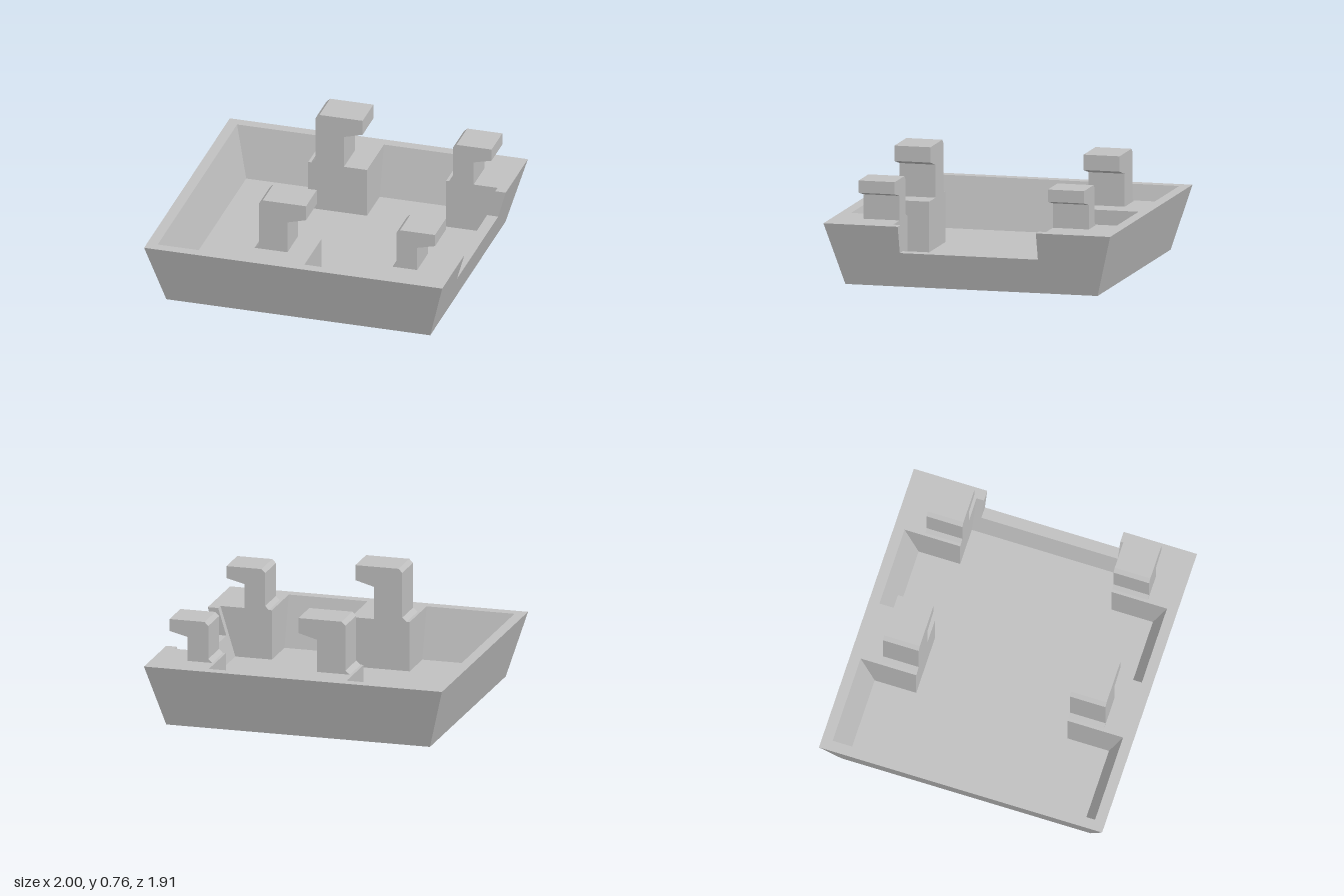
import * as THREE from 'three';
import { mergeGeometries } from 'three/addons/utils/BufferGeometryUtils.js';

const H = 0.41, FLOOR = 0.08, SILL = 0.23, NZ = 0.46, GROOVE = 0.015;

const toGeometry = (pos) => {
  const g = new THREE.BufferGeometry();
  g.setAttribute('position', new THREE.Float32BufferAttribute(pos, 3));
  g.computeVertexNormals();
  return g;
};

// Flat polygon (with optional holes) turned so that it faces along dir
function face(pts, dir, holes = []) {
  const a = dir.map(Math.abs);
  const drop = a.indexOf(Math.max(...a));
  const flat = (ring) => ring.map((p) => new THREE.Vector2(...p.filter((_, i) => i !== drop)));
  const all = [pts, ...holes].flat().map((p) => new THREE.Vector3(...p));
  const d = new THREE.Vector3(...dir), pos = [];
  for (const [i, j, k] of THREE.ShapeUtils.triangulateShape(flat(pts), holes.map(flat))) {
    const [p, q, r] = [all[i], all[j], all[k]];
    const n = q.clone().sub(p).cross(r.clone().sub(p));
    for (const v of n.dot(d) >= 0 ? [p, q, r] : [p, r, q]) pos.push(v.x, v.y, v.z);
  }
  return toGeometry(pos);
}

// Walls between two matching rings; skip leaves one edge open
function loft(low, high, skip = -1) {
  const pos = [];
  low.forEach((a, i) => {
    if (i === skip) return;
    const j = (i + 1) % low.length;
    pos.push(...a, ...low[j], ...high[j], ...a, ...high[j], ...high[i]);
  });
  return toGeometry(pos);
}

const at = (ring, y) => ring.map(([x, z]) => [x, y, z]);

// Cavity outline, running around the four corner blocks
function cavity(left, right, side) {
  const half = [[left, -side], [-0.34, -side], [-0.34, -0.51], [0.055, -0.51],
    [0.055, -side], [0.585, -side], [0.585, -0.51], [right, -0.51]];
  return [...half, ...half.map(([x, z]) => [x, -z]).reverse()];
}

// Closed smooth outline through a few points
const smooth = (pts) => new THREE.CatmullRomCurve3(
  pts.map(([x, z]) => new THREE.Vector3(x, 0, z)), true, 'centripetal')
  .getPoints(48).slice(0, -1).map((p) => [p.x, p.z]);

// Outline moved inwards by w
function inset(ring, w) {
  const s = THREE.ShapeUtils.area(ring.map((p) => new THREE.Vector2(...p))) > 0 ? 1 : -1;
  const n = ring.length;
  return ring.map(([x, z], i) => {
    const a = ring[(i + n - 1) % n], b = ring[(i + 1) % n];
    const dx = b[0] - a[0], dz = b[1] - a[1], l = Math.hypot(dx, dz);
    return [x - s * w * dz / l, z + s * w * dx / l];
  });
}

// Narrow four-sided slit between two points
function slit(a, b, w) {
  const dx = b[0] - a[0], dz = b[1] - a[1], l = Math.hypot(dx, dz);
  const ox = -dz / l * w / 2, oz = dx / l * w / 2;
  return [[a[0] + ox, a[1] + oz], [b[0] + ox, b[1] + oz], [b[0] - ox, b[1] - oz], [a[0] - ox, a[1] - oz]];
}

const mix = (a, b, t) => [a[0] + (b[0] - a[0]) * t, a[1] + (b[1] - a[1]) * t];

export function createModel() {
  const model = new THREE.Group();
  const grey = new THREE.MeshStandardMaterial({ color: 0xc0c0c0, side: THREE.DoubleSide });
  grey.name = 'light grey';
  const add = (name, geometry) => {
    const mesh = new THREE.Mesh(geometry, grey);
    mesh.name = name;
    model.add(mesh);
    return mesh;
  };

  // Sloping outer walls, the right one with a notch
  const xo = (y) => 0.885 + 0.115 * y / H;
  const xi = (y) => 0.83 + 0.1 * (y - FLOOR) / (H - FLOOR);
  const rect = (x, z) => [[x, -z], [-x, -z], [-x, z], [x, z]];
  const base = rect(0.885, 0.84), top = rect(1, 0.955);
  add('outerWalls', loft(at(base, 0), at(top, H), 3));
  const notched = (x, y0, z0, z1) => [[x(y0), y0, -z0], [x(y0), y0, z0], [x(H), H, z1], [x(H), H, NZ],
    [x(SILL), SILL, NZ], [x(SILL), SILL, -NZ], [x(H), H, -NZ], [x(H), H, -z1]];
  add('notchedOuterWall', face(notched(xo, 0, 0.84, 0.955), [1, 0, 0]));
  add('notchedInnerWall', face(notched(xi, FLOOR, 0.51, 0.51), [-1, 0, 0]));

  // Notch sill and cheeks
  add('notchSill', face([[xi(SILL), SILL, -NZ], [xo(SILL), SILL, -NZ],
    [xo(SILL), SILL, NZ], [xi(SILL), SILL, NZ]], [0, 1, 0]));
  for (const s of [-1, 1]) {
    add('notchCheek', face([[xi(SILL), SILL, s * NZ], [xo(SILL), SILL, s * NZ],
      [xo(H), H, s * NZ], [xi(H), H, s * NZ]], [0, 0, -s]));
  }

  // Cavity walls, floor and rim
  const floorRing = cavity(-0.84, 0.83, 0.79), rimRing = cavity(-0.93, 0.93, 0.885);
  add('cavityWalls', loft(at(floorRing, FLOOR), at(rimRing, H), 7));
  add('floor', face(at(floorRing, FLOOR), [0, 1, 0]));
  const rim = [[1, -NZ], [1, -0.955], [-1, -0.955], [-1, 0.955], [1, 0.955], [1, NZ], [0.93, NZ],
    ...rimRing.slice(8), ...rimRing.slice(0, 8), [0.93, -NZ]];
  add('rim', face(at(rim, H), [0, 1, 0]));

  // Four hooks, a tall and a short pair
  const hooks = {
    tallHook: [[-0.32, H], [-0.29, 0.435], [-0.29, 0.735], [-0.265, 0.76], [0.025, 0.76],
      [0.025, 0.66], [-0.1, 0.625], [-0.1, H]],
    shortHook: [[0.605, H], [0.63, 0.435], [0.63, 0.655], [0.655, 0.68], [0.89, 0.68],
      [0.89, 0.6], [0.77, 0.57], [0.77, H]],
  };
  for (const [name, pts] of Object.entries(hooks)) {
    const shape = new THREE.Shape(pts.map((p) => new THREE.Vector2(...p)));
    const geometry = new THREE.ExtrudeGeometry(shape, { depth: 0.24, bevelEnabled: false });
    for (const z of [-0.75, 0.51]) add(name, geometry).position.z = z;
  }

  // Butterfly engraved in the underside: wing outlines (root first) with veins
  const wings = [
    [[-0.04, 0.22], [0.287, -0.067], [0.69, -0.267], [0.8, -0.234], [0.49, 0.1], [0.33, 0.22], [0.12, 0.235]],
    [[-0.125, 0.16], [-0.2, -0.08], [-0.354, -0.509], [-0.52, -0.652], [-0.6, -0.56], [-0.66, -0.2],
      [-0.62, -0.08], [-0.4, 0.06]],
    [[-0.11, 0.34], [0.08, 0.32], [0.26, 0.38], [0.07, 0.61], [-0.16, 0.65], [-0.17, 0.5]],
    [[-0.22, 0.25], [-0.4, 0.14], [-0.68, -0.02], [-0.8, 0.08], [-0.78, 0.35], [-0.64, 0.467], [-0.39, 0.42]],
  ];
  const down = [0, -1, 0], holes = [], engraved = [];
  const cut = (ring) => engraved.push(loft(at(ring, 0), at(ring, GROOVE)));
  for (const wing of wings) {
    const outer = smooth(wing), inner = inset(outer, 0.018);
    const first = wing.length > 6 && wing !== wings[0] ? 3 : 2;
    const veins = [0, 1, 2].map((i) => slit(mix(wing[0], wing[first + i], 0.45),
      mix(wing[0], wing[first + i], 0.78), 0.012));
    holes.push(outer);
    [outer, inner, ...veins].forEach(cut);
    engraved.push(face(at(inner, 0), down, veins.map((v) => at(v, 0))));
    engraved.push(face(at(outer, GROOVE), down));
  }
  const body = smooth([[0, 0.08], [-0.1, 0.255], [-0.24, 0.4], [-0.14, 0.225]]);
  for (const ring of [body, slit([-0.01, 0.04], [-0.08, -0.17], 0.014), slit([0.03, 0.05], [0.13, -0.08], 0.014)]) {
    holes.push(ring);
    cut(ring);
    engraved.push(face(at(ring, GROOVE), down));
  }
  add('underside', face(at(base, 0), down, holes.map((h) => at(h, 0))));
  add('butterflyEngraving', mergeGeometries(engraved));

  return model;
}
